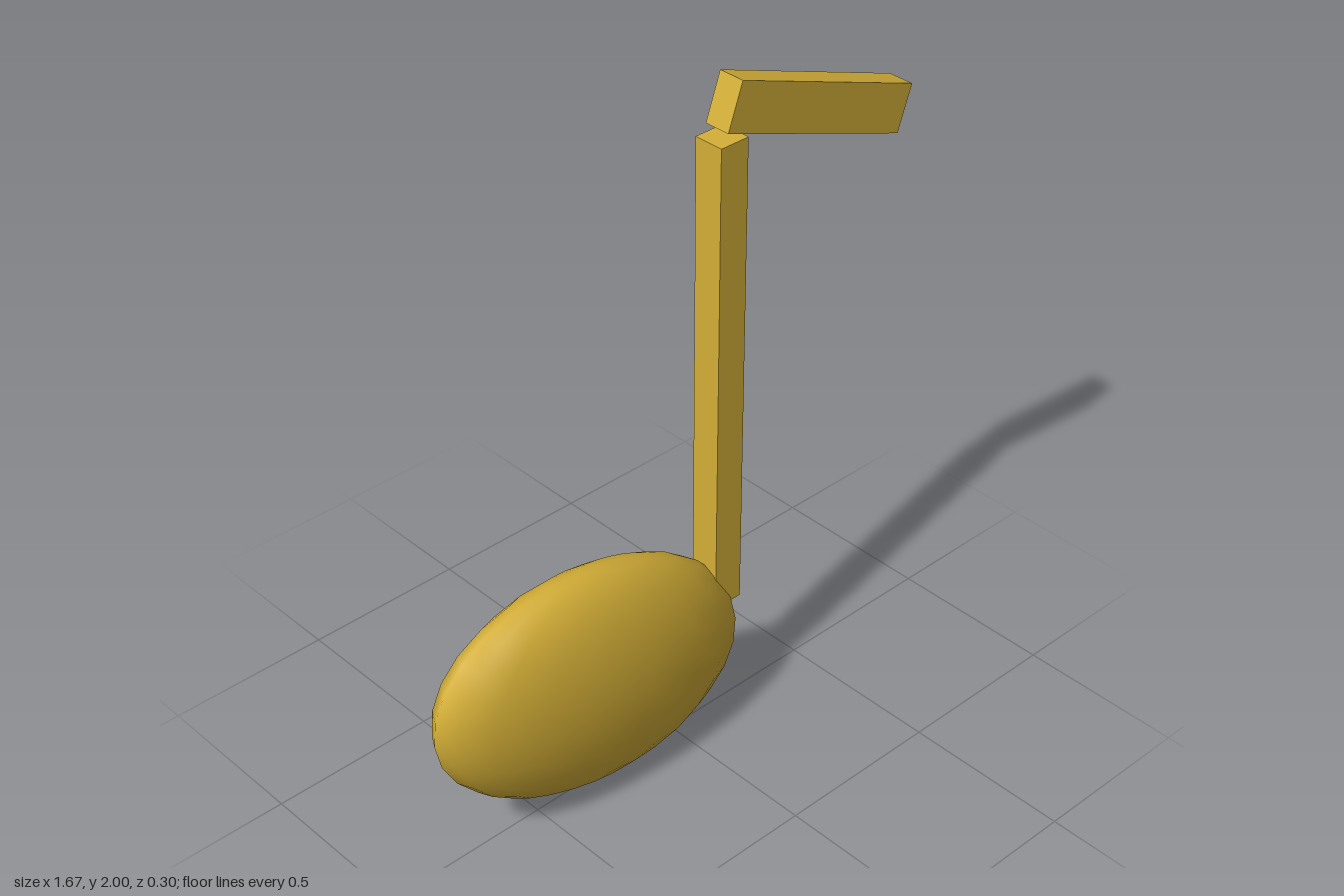
import * as THREE from 'three';

export function createModel() {
  const group = new THREE.Group();
  const gold = new THREE.MeshStandardMaterial({ color: 0xd4af37 });

  function addPart(name, geometry, x, y, tilt = 0) {
    const mesh = new THREE.Mesh(geometry, gold);
    mesh.name = name;
    mesh.position.set(x, y, 0);
    mesh.rotation.z = THREE.MathUtils.degToRad(tilt);
    group.add(mesh);
  }

  // Flattened oval head, leaning down towards the stem
  const head = new THREE.SphereGeometry(1, 18, 14).scale(0.545, 0.354, 0.152);
  addPart('noteHead', head, -0.3, 0.372, -15);

  // Upright square stem
  addPart('stem', new THREE.BoxGeometry(0.094, 1.45, 0.092), 0.175, 1.115);

  // Sloping flag just above the stem
  addPart('flag', new THREE.BoxGeometry(0.669, 0.139, 0.08), 0.495, 1.82, -20);

  return group;
}
